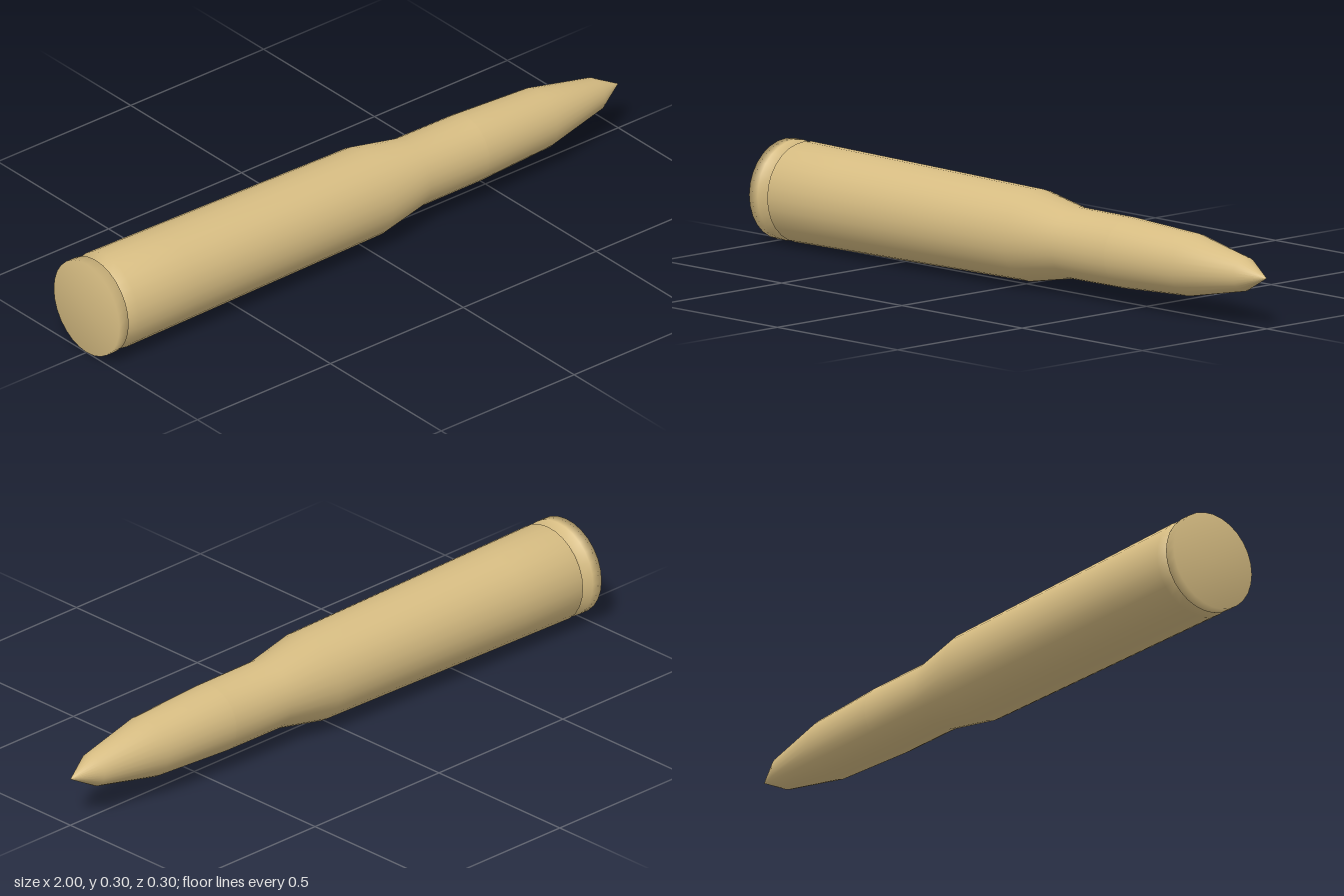
import * as THREE from 'three';

const AXIS_Y = 0.148;
const SIDES = 28;

export function createModel() {
  const model = new THREE.Group();
  const brass = new THREE.MeshStandardMaterial({ color: 0xd6bc82 });
  brass.name = 'brass';

  // Turns a profile of [x along the length, radius] about the long axis
  const addTurned = (name, profile) => {
    const points = profile.map(([x, r]) => new THREE.Vector2(r, x));
    const geometry = new THREE.LatheGeometry(points, SIDES);
    geometry.rotateZ(-Math.PI / 2);
    geometry.translate(0, AXIS_Y, 0);
    const mesh = new THREE.Mesh(geometry, brass);
    mesh.name = name;
    model.add(mesh);
  };

  // Case: flat base, rim, extractor groove, tapered body, shoulder and neck
  addTurned('case', [
    [-1, 0], [-1, 0.148], [-0.965, 0.148],
    [-0.952, 0.119], [-0.945, 0.119], [-0.925, 0.148],
    [-0.7, 0.145], [0.043, 0.135], [0.208, 0.105], [0.43, 0.104],
  ]);

  // Pointed projectile seated in the neck
  addTurned('projectile', [
    [0.43, 0.104], [0.695, 0.092], [0.91, 0.05], [1, 0],
  ]);

  return model;
}
